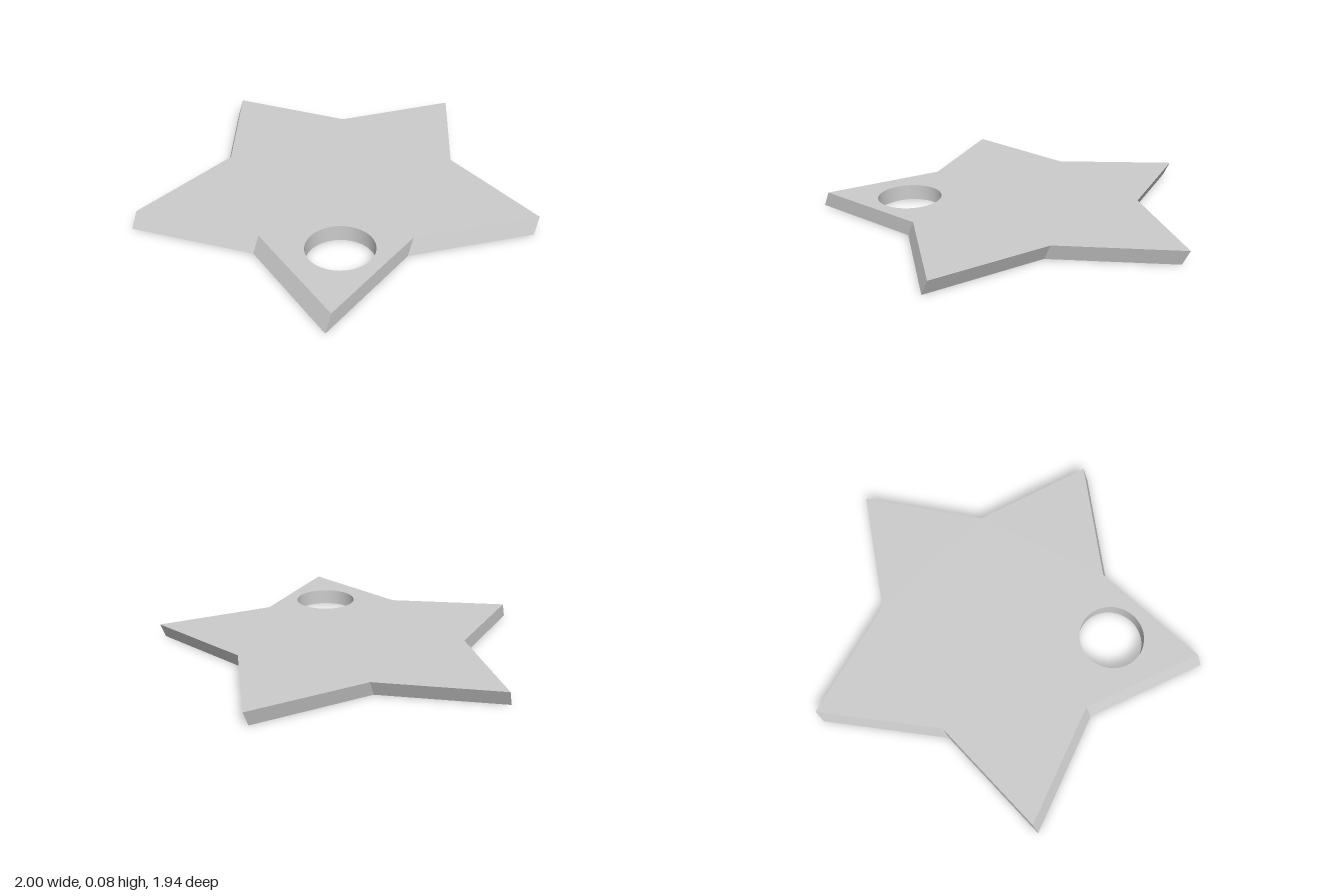
import * as THREE from 'three';

const R = 1.0515;          // tip radius
const r = 0.6 * R;         // notch radius
const H = 0.084;           // thickness
const LEAN = 0.042;        // how far the base sits forward of the top
const TOP_Z = 0.0795;      // star centre on the top face
const HOLE = { x: 0.37, z: 0.547, radius: 0.17, segments: 48 };

// Star outline as [x, z], starting at the back tip and running towards +x
function starLoop(cz) {
  return Array.from({ length: 10 }, (_, i) => {
    const a = (i * Math.PI) / 5, d = i % 2 ? r : R;
    return [d * Math.sin(a), cz - d * Math.cos(a)];
  });
}

// Round hole, running the opposite way so its wall faces inwards
function holeLoop() {
  return Array.from({ length: HOLE.segments }, (_, i) => {
    const a = (-i * Math.PI * 2) / HOLE.segments;
    return [HOLE.x + HOLE.radius * Math.sin(a), HOLE.z - HOLE.radius * Math.cos(a)];
  });
}

// Flat face with the hole cut out; side is 1 facing up, -1 facing down
function cap(outline, hole, y, side) {
  const flat = (loop) => loop.map(([x, z]) => new THREE.Vector2(x, -side * z));
  const shape = new THREE.Shape(flat(outline));
  shape.holes.push(new THREE.Path(flat(hole)));
  return new THREE.ShapeGeometry(shape).rotateX((-side * Math.PI) / 2).translate(0, y, 0);
}

// Band joining a lower loop at y = 0 to an upper loop at y = H
function wall(lower, upper, smooth) {
  const n = lower.length, positions = [], index = [];
  for (let i = 0; i < n; i++) {
    positions.push(lower[i][0], 0, lower[i][1], upper[i][0], H, upper[i][1]);
    const b = 2 * i, c = 2 * ((i + 1) % n);
    index.push(b, b + 1, c + 1, b, c + 1, c);
  }
  let geometry = new THREE.BufferGeometry();
  geometry.setAttribute('position', new THREE.Float32BufferAttribute(positions, 3));
  geometry.setIndex(index);
  if (!smooth) geometry = geometry.toNonIndexed();
  geometry.computeVertexNormals();
  return geometry;
}

export function createModel() {
  const group = new THREE.Group();
  group.name = 'starPlate';
  const material = new THREE.MeshStandardMaterial({ color: 0xcccccc });
  const add = (name, geometry) => {
    const mesh = new THREE.Mesh(geometry, material);
    mesh.name = name;
    group.add(mesh);
  };

  const top = starLoop(TOP_Z), base = starLoop(TOP_Z + LEAN), hole = holeLoop();
  add('topFace', cap(top, hole, H, 1));
  add('bottomFace', cap(base, hole, 0, -1));
  add('slantedRim', wall(base, top, false));   // rim leans back
  add('holeWall', wall(hole, hole, true));     // hole stays vertical
  return group;
}
